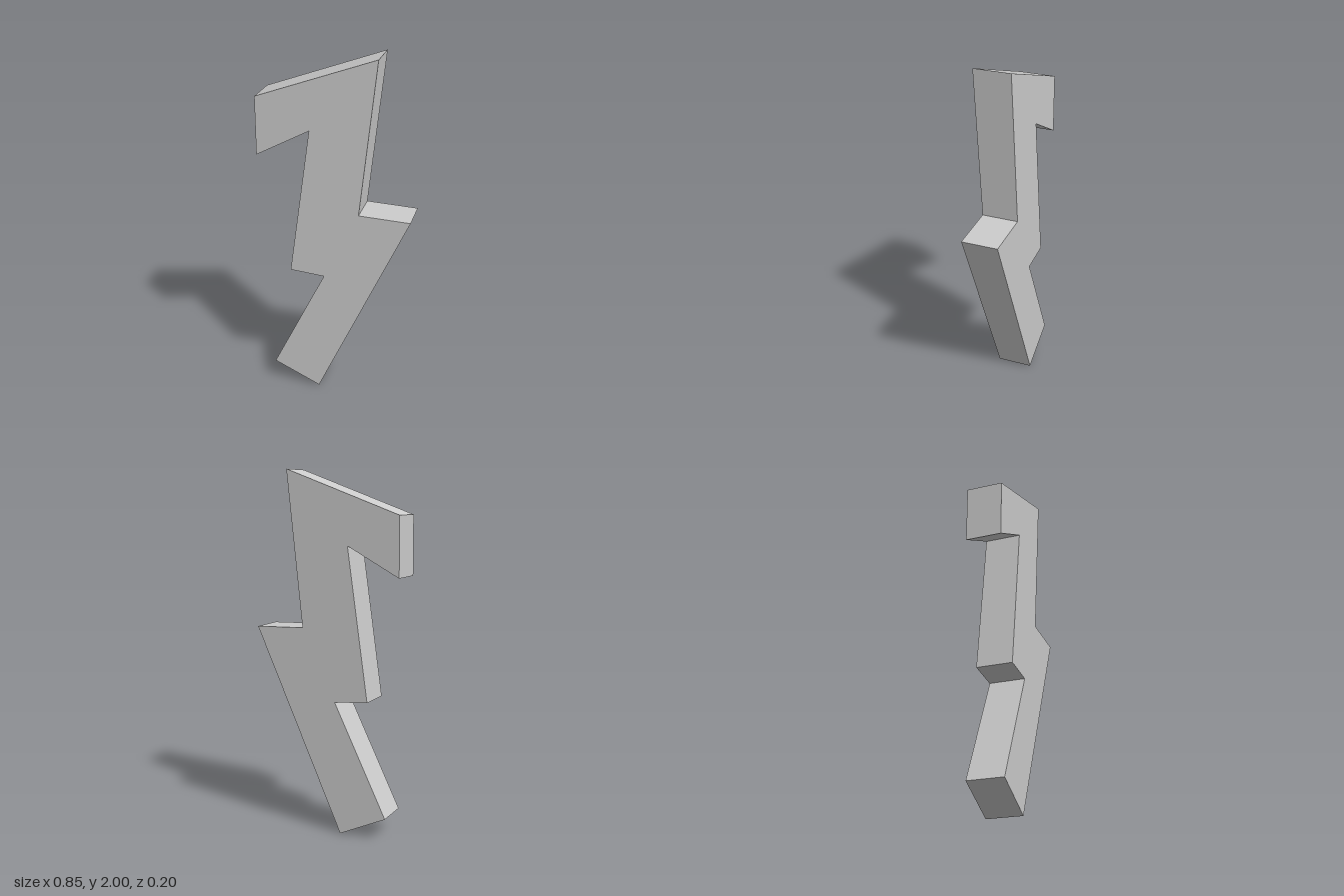
import * as THREE from 'three';

export function createModel() {
  const group = new THREE.Group();
  group.name = 'lightningBolt';

  // Bolt outline, counter-clockwise from the bottom tip
  const outline = [
    [-0.09, 0], [0.423, 1.137], [0.14, 1.146], [0.233, 2],
    [-0.423, 1.76], [-0.425, 1.437], [-0.13, 1.597],
    [-0.249, 0.762], [-0.055, 0.747], [-0.359, 0.125],
  ].map(([x, y]) => new THREE.Vector2(x, y));

  // Flat slab with sharp edges, centred on z
  const depth = 0.2;
  const geometry = new THREE.ExtrudeGeometry(new THREE.Shape(outline), { depth, bevelEnabled: false });
  geometry.translate(0, 0, -depth / 2);

  const bolt = new THREE.Mesh(
    geometry,
    new THREE.MeshStandardMaterial({ color: 0xcccccc, flatShading: true })
  );
  bolt.name = 'bolt';
  group.add(bolt);
  return group;
}
